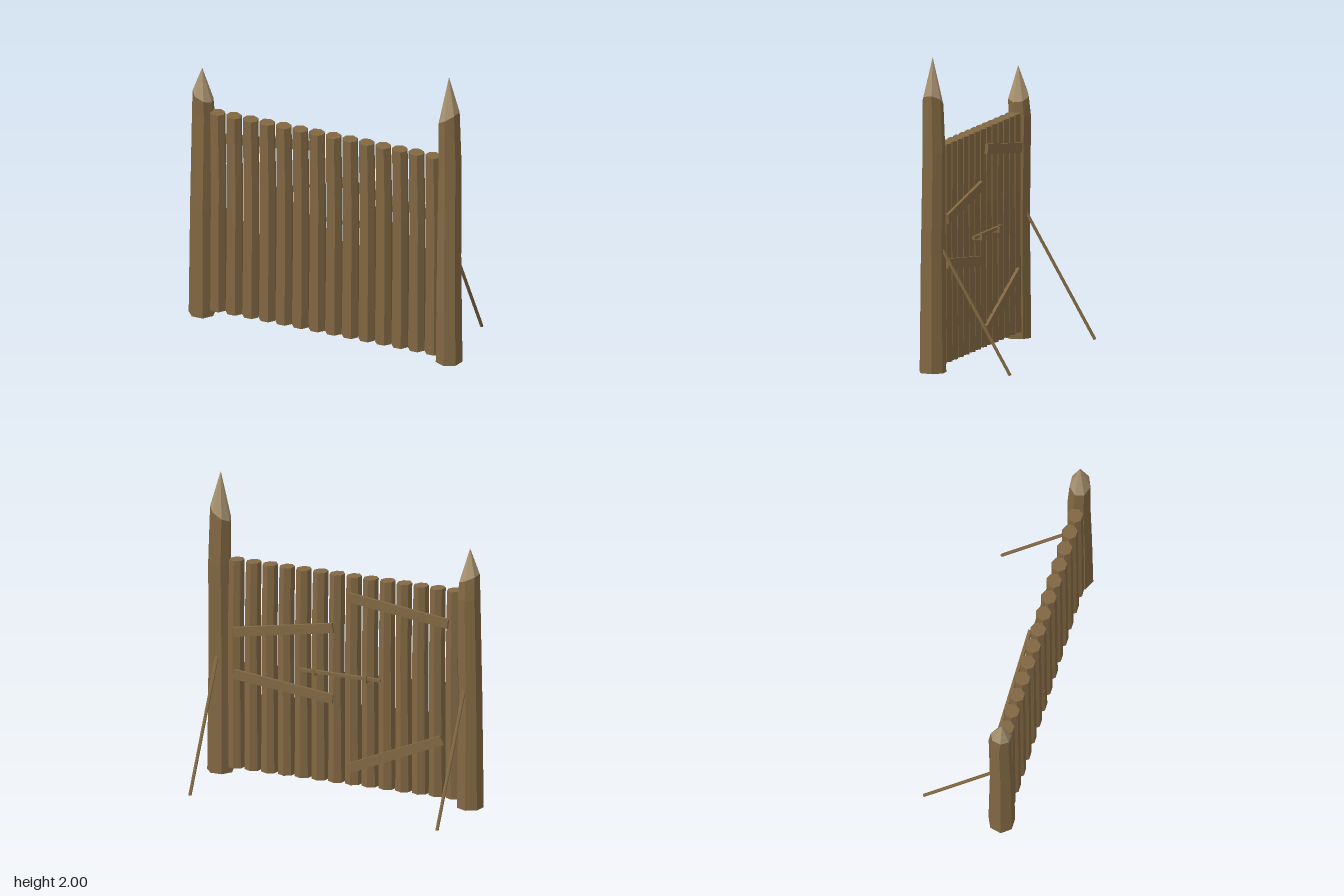
import * as THREE from 'three';

const wood = new THREE.MeshStandardMaterial({ color: 0x826843, flatShading: true });
wood.name = 'brown wood';
const cutWood = new THREE.MeshStandardMaterial({ color: 0xaa9472, flatShading: true });
cutWood.name = 'pale cut wood';

// Seven-sided log through rows of { y, r, dx, dz, tilt }, listed bottom to top.
function logGeometry(rows, turn, open = false) {
  const n = rows.length - 1;
  const geo = new THREE.CylinderGeometry(1, 1, n, 7, n, open, turn);
  const pos = geo.attributes.position;
  for (let i = 0; i < pos.count; i++) {
    const { y, r, dx = 0, dz = 0, tilt = 0 } = rows[Math.round(pos.getY(i) + n / 2)];
    const x = pos.getX(i) * r;
    pos.setXYZ(i, x + dx, y + tilt * x, pos.getZ(i) * r + dz);
  }
  geo.computeVertexNormals();
  return geo;
}

function add(parent, name, geo, material, x = 0, y = 0, z = 0) {
  const mesh = new THREE.Mesh(geo, material);
  mesh.name = name;
  mesh.position.set(x, y, z);
  parent.add(mesh);
  return mesh;
}

// Tall gate post with a sharpened pale tip.
function addPost(parent, name, x, turn, rows, apex) {
  const post = new THREE.Group();
  post.name = name;
  post.position.set(x, 0, 0.217);
  add(post, 'shaft', logGeometry(rows, turn), wood);
  const tip = [rows[rows.length - 1], { y: apex, r: 0.0008 }];
  add(post, 'sharpenedTip', logGeometry(tip, turn, true), cutWood);
  parent.add(post);
}

// Flat brace board between two points on the back of the gate.
function addBrace(parent, name, x1, y1, x2, y2) {
  const geo = new THREE.BoxGeometry(Math.hypot(x2 - x1, y2 - y1), 0.062, 0.02);
  const brace = add(parent, name, geo, wood, (x1 + x2) / 2, (y1 + y2) / 2, 0.158);
  brace.rotation.z = Math.atan2(y2 - y1, x2 - x1);
}

export function createModel() {
  const gate = new THREE.Group();
  gate.name = 'palisadeGate';

  // Posts at the two ends
  addPost(gate, 'rightPost', -0.845, Math.PI, [
    { y: 0, r: 0.086 },
    { y: 0.75, r: 0.077 },
    { y: 1.4, r: 0.073, dx: 0.003, dz: -0.013 },
    { y: 1.525, r: 0.067, dx: 0.004, dz: -0.005, tilt: -0.45 },
  ], 1.72);
  addPost(gate, 'leftPost', 0.843, 0, [
    { y: 0.01, r: 0.086 },
    { y: 0.75, r: 0.078 },
    { y: 1.4, r: 0.074, dx: 0.003, dz: -0.008 },
    { y: 1.722, r: 0.068, tilt: 0.65 },
  ], 2.0);

  // Row of upright logs forming both leaves
  const logGeo = logGeometry([
    { y: 0.05, r: 0.057 },
    { y: 0.45, r: 0.054, dx: 0.002 },
    { y: 0.95, r: 0.052, dx: 0.004 },
    { y: 1.43, r: 0.05, dx: -0.003, tilt: -0.05 },
  ], Math.PI);
  const leaves = new THREE.Group();
  leaves.name = 'logLeaves';
  for (let i = 0; i < 14; i++) {
    add(leaves, `log${i + 1}`, logGeo, wood, -0.737 + i * 0.1134, 0, 0.217);
  }
  gate.add(leaves);

  // Slanted braces across the back
  addBrace(gate, 'leftUpperBrace', 0.06, 1.085, 0.73, 0.965);
  addBrace(gate, 'leftLowerBrace', 0.06, 0.61, 0.73, 0.685);
  addBrace(gate, 'rightUpperBrace', -0.72, 1.22, -0.04, 1.305);
  addBrace(gate, 'rightLowerBrace', -0.68, 0.44, -0.04, 0.16);

  // Locking bar with its two brackets
  add(gate, 'lockingBar', new THREE.BoxGeometry(0.55, 0.02, 0.018), wood, 0.003, 0.785, 0.137);
  for (const x of [-0.173, 0.176]) {
    const bracket = new THREE.Group();
    bracket.name = 'barBracket';
    bracket.position.set(x, 0.785, 0);
    add(bracket, 'bracketArm', new THREE.BoxGeometry(0.018, 0.018, 0.06), wood, 0, -0.017, 0.142);
    add(bracket, 'bracketHook', new THREE.BoxGeometry(0.018, 0.046, 0.014), wood, 0, 0, 0.12);
    gate.add(bracket);
  }

  // Slanted props behind the posts
  for (const [name, x] of [['rightProp', -0.83], ['leftProp', 0.842]]) {
    const foot = new THREE.Vector3(x, 0.012, -0.295);
    const head = new THREE.Vector3(x, 0.79, 0.155);
    const span = head.clone().sub(foot);
    const prop = add(gate, name, new THREE.CylinderGeometry(0.0105, 0.0105, span.length(), 6), wood);
    prop.position.copy(foot).addScaledVector(span, 0.5);
    prop.quaternion.setFromUnitVectors(new THREE.Vector3(0, 1, 0), span.normalize());
  }
  return gate;
}
